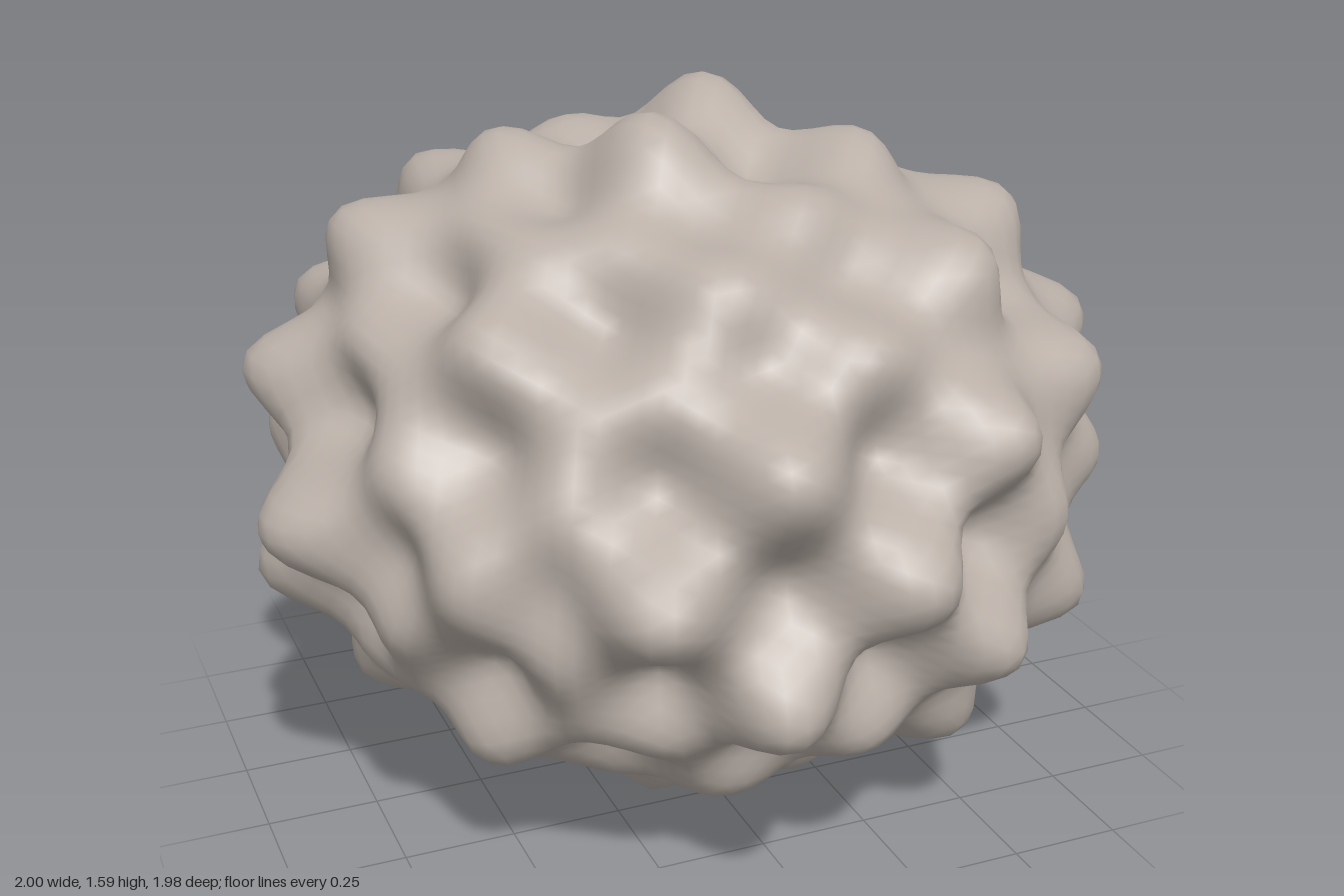
import * as THREE from 'three';
import { mergeVertices } from 'three/addons/utils/BufferGeometryUtils.js';

const BASE = 0.9;      // radius before the lumps
const SQUASH = 0.8;    // vertical flattening
const LUMP = 0.133;    // lump height relative to the radius

// Regular lumps: a product of three waves over the unit sphere
const lump = (p) => LUMP * Math.sin(11.4 * p.x) * Math.cos(9.5 * p.y) * Math.sin(8.55 * p.z);

export function createModel() {
  const stone = new THREE.MeshStandardMaterial({ color: 0xbab0a8 });
  stone.name = 'pale warm grey stone';

  // Welded sphere so the recomputed normals are smooth everywhere
  let geometry = new THREE.IcosahedronGeometry(1, 24);
  geometry.deleteAttribute('uv');
  geometry.deleteAttribute('normal');
  geometry = mergeVertices(geometry, 1e-4);

  // Push each vertex in or out, then flatten
  const pos = geometry.attributes.position;
  const p = new THREE.Vector3();
  for (let i = 0; i < pos.count; i++) {
    p.fromBufferAttribute(pos, i).normalize();
    p.multiplyScalar(BASE * (1 + lump(p)));
    pos.setXYZ(i, p.x, p.y * SQUASH, p.z);
  }

  // Stand it on the ground
  geometry.computeBoundingBox();
  geometry.translate(0, -geometry.boundingBox.min.y, 0);
  geometry.computeVertexNormals();

  const rock = new THREE.Mesh(geometry, stone);
  rock.name = 'rock';

  const group = new THREE.Group();
  group.name = 'lumpyRock';
  group.add(rock);
  return group;
}
